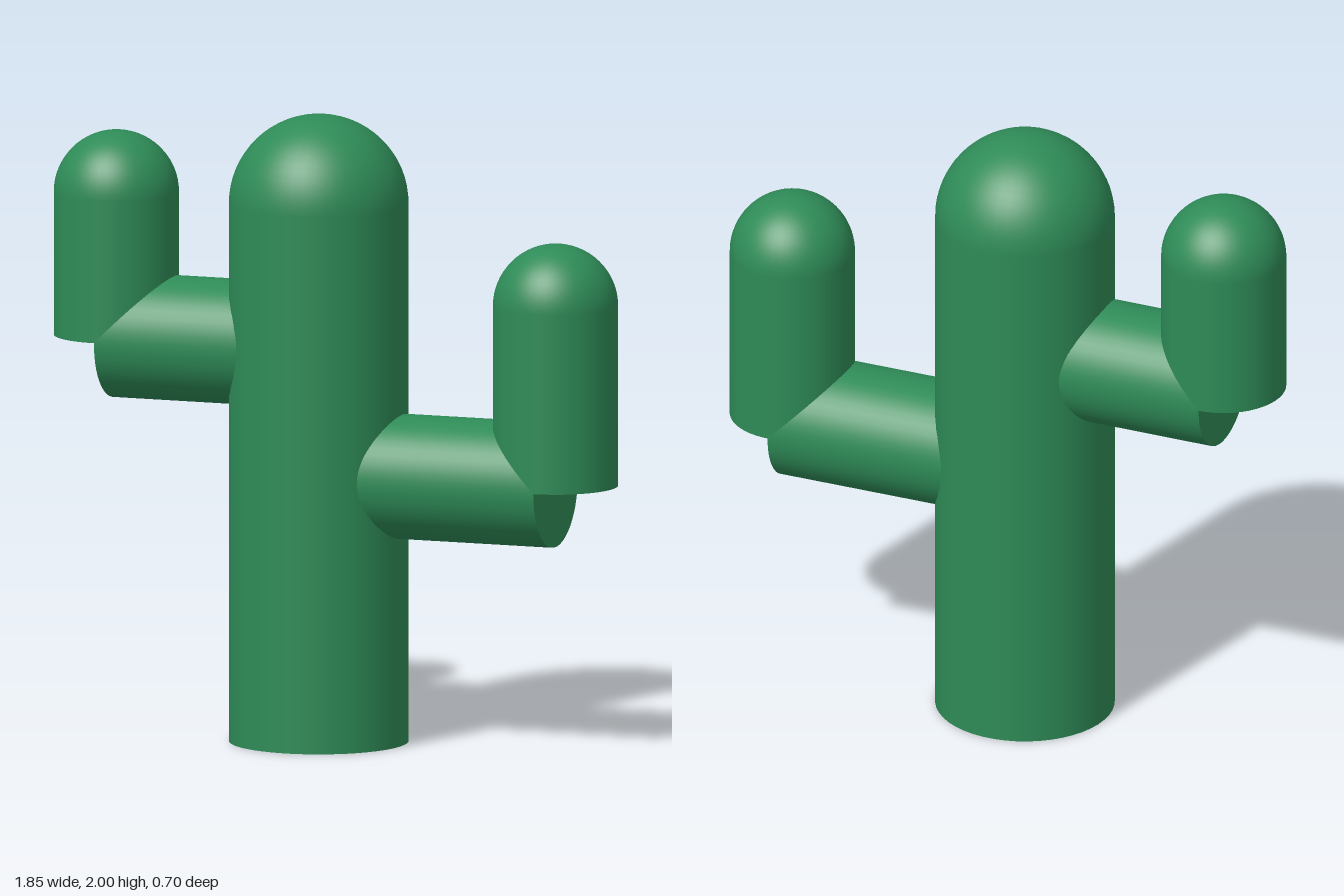
import * as THREE from 'three';

const material = new THREE.MeshStandardMaterial({ color: 0x2e8b57 });
const SEGMENTS = 48;

function addMesh(parent, name, geometry, x, y, z) {
  const mesh = new THREE.Mesh(geometry, material);
  mesh.name = name;
  mesh.position.set(x, y, z);
  parent.add(mesh);
  return mesh;
}

// Upright round column with a flat base and a domed top
function createColumn(name, radius, bottom, top, x, z) {
  const group = new THREE.Group();
  group.name = name;
  group.position.set(x, 0, z);
  const height = top - radius - bottom;
  addMesh(group, name + 'Stem', new THREE.CylinderGeometry(radius, radius, height, SEGMENTS), 0, bottom + height / 2, 0);
  addMesh(group, name + 'Dome',
    new THREE.SphereGeometry(radius, SEGMENTS, 16, 0, Math.PI * 2, 0, Math.PI / 2), 0, top - radius, 0);
  return group;
}

export function createModel() {
  const model = new THREE.Group();
  model.name = 'cactus';

  // Trunk
  const trunk = { x: -0.057, z: 0.0135, radius: 0.284 };
  model.add(createColumn('trunk', trunk.radius, 0, 2, trunk.x, trunk.z));

  // Arms: a level branch from the trunk's axis to the axis of an upright column
  const radius = 0.198;
  const arms = [
    { name: 'leftArm', x: 0.725, z: -0.153, bottom: 0.86, top: 1.63 },
    { name: 'rightArm', x: -0.727, z: 0.153, bottom: 1.26, top: 1.913 },
  ];
  for (const { name, x, z, bottom, top } of arms) {
    const arm = new THREE.Group();
    arm.name = name;
    const dx = x - trunk.x, dz = z - trunk.z;
    const length = Math.hypot(dx, dz);
    const branch = addMesh(arm, name + 'Branch',
      new THREE.CylinderGeometry(radius, radius, length, SEGMENTS),
      trunk.x + dx / 2, bottom, trunk.z + dz / 2);
    branch.quaternion.setFromUnitVectors(
      new THREE.Vector3(0, 1, 0), new THREE.Vector3(dx, 0, dz).normalize());
    arm.add(createColumn(name + 'Upright', radius, bottom, top, x, z));
    model.add(arm);
  }

  return model;
}
